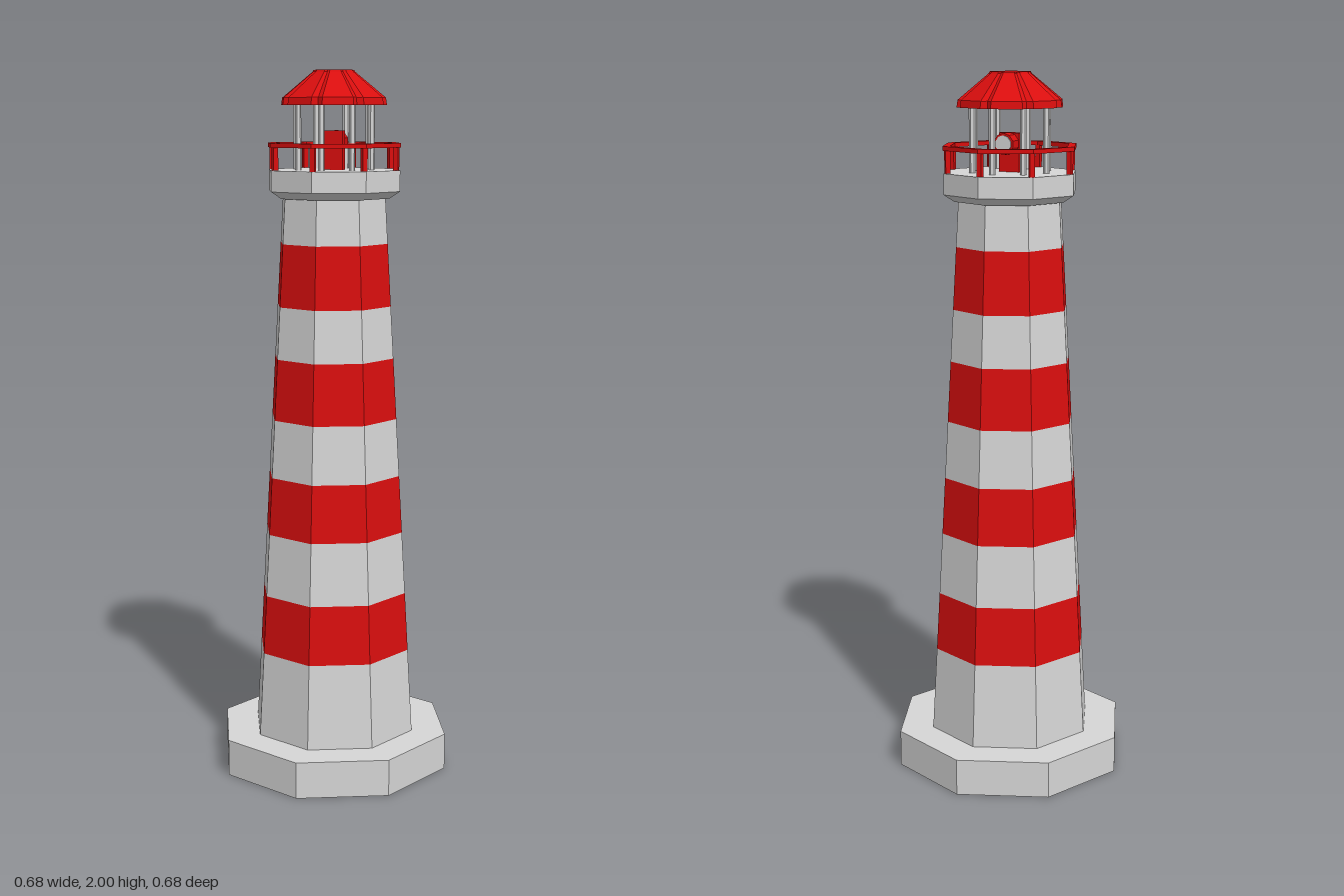
import * as THREE from 'three';

const SIDES = 8;

function material(name, color) {
  const m = new THREE.MeshStandardMaterial({ color, flatShading: true, side: THREE.DoubleSide });
  m.name = name;
  return m;
}

export function createModel() {
  const model = new THREE.Group();
  model.name = 'lighthouse';
  const grey = material('paleGrey', 0xd6d6d6);
  const red = material('red', 0xda0e0e);

  const add = (name, geometry, mat, x = 0, y = 0, z = 0) => {
    const mesh = new THREE.Mesh(geometry, mat);
    mesh.name = name;
    mesh.position.set(x, y, z);
    model.add(mesh);
    return mesh;
  };
  // Eight-sided surface from [radius, height] pairs, corners on the axes
  const octagon = (points) =>
    new THREE.LatheGeometry(points.map(([r, y]) => new THREE.Vector2(r, y)), SIDES);

  // Hollow plinth, open underneath
  add('plinth', octagon([[0.34, 0], [0.34, 0.105], [0.24, 0.105]]), grey);

  // Tapered tower in alternating bands
  const levels = [0.105, 0.35, 0.52, 0.70, 0.865, 1.03, 1.203, 1.35, 1.525, 1.65];
  const towerRadius = (y) => 0.24 - (y - 0.105) * 0.0575;
  for (let i = 0; i < levels.length - 1; i++) {
    const [a, b] = [levels[i], levels[i + 1]];
    add(i % 2 ? 'redBand' : 'greyBand',
      octagon([[towerRadius(a), a], [towerRadius(b), b]]), i % 2 ? red : grey);
  }

  // Gallery deck with flared underside
  add('gallery', octagon([[0.15, 1.65], [0.162, 1.65], [0.193, 1.67], [0.193, 1.728], [0, 1.728]]), grey);

  // Handrail, its posts and the lantern columns
  add('handrail', octagon([[0.173, 1.79], [0.195, 1.79], [0.195, 1.802], [0.173, 1.802], [0.173, 1.79]]), red);
  const postGeometry = new THREE.BoxGeometry(0.014, 0.064, 0.014);
  const columnGeometry = new THREE.CylinderGeometry(0.009, 0.009, 0.187, 6);
  for (let i = 0; i < SIDES; i++) {
    const t = (i / SIDES) * Math.PI * 2;
    const [s, c] = [Math.sin(t), Math.cos(t)];
    add('railPost', postGeometry, red, s * 0.181, 1.76, c * 0.181).rotation.y = t;
    add('lanternColumn', columnGeometry, grey, s * 0.11, 1.8215, c * 0.11);
  }

  // Lamp with its lens facing the back
  add('lampStand', new THREE.BoxGeometry(0.062, 0.107, 0.024), red, 0, 1.7815, 0.005);
  add('lampHead', new THREE.CylinderGeometry(0.03, 0.03, 0.035, 10).rotateX(Math.PI / 2), red, 0, 1.806, -0.0245);
  add('lampLens', new THREE.CylinderGeometry(0.024, 0.024, 0.004, 10).rotateX(Math.PI / 2), grey, 0, 1.806, -0.043);

  add('roof', roofGeometry(), red);
  return model;
}

// Eight flat panels divided by narrow grooves, open underneath
function roofGeometry() {
  // [panel radius, groove radius, height, half groove angle]
  const rings = [
    [0.150, 0.138, 1.905, 0.105],
    [0.147, 0.135, 1.925, 0.105],
    [0.060, 0.055, 1.995, 0.13],
    [0.057, 0.054, 2.0, 0.13],
  ];
  const positions = [];
  const index = [];
  const count = SIDES * 3;
  for (const [panel, groove, y, half] of rings) {
    for (let i = 0; i < SIDES; i++) {
      for (const k of [-1, 0, 1]) {
        const t = (i / SIDES) * Math.PI * 2 + k * half;
        const r = k ? panel : groove;
        positions.push(r * Math.sin(t), y, r * Math.cos(t));
      }
    }
  }
  for (let j = 0; j < count; j++) {
    const n = (j + 1) % count;
    for (let i = 0; i < rings.length - 1; i++) {
      const [lo, hi] = [i * count, (i + 1) * count];
      index.push(lo + j, lo + n, hi + n, lo + j, hi + n, hi + j);
    }
    const top = (rings.length - 1) * count;
    index.push(rings.length * count, top + j, top + n);
  }
  positions.push(0, 2.0, 0);
  const g = new THREE.BufferGeometry();
  g.setAttribute('position', new THREE.Float32BufferAttribute(positions, 3));
  g.setIndex(index);
  const flat = g.toNonIndexed();
  flat.computeVertexNormals();
  return flat;
}
